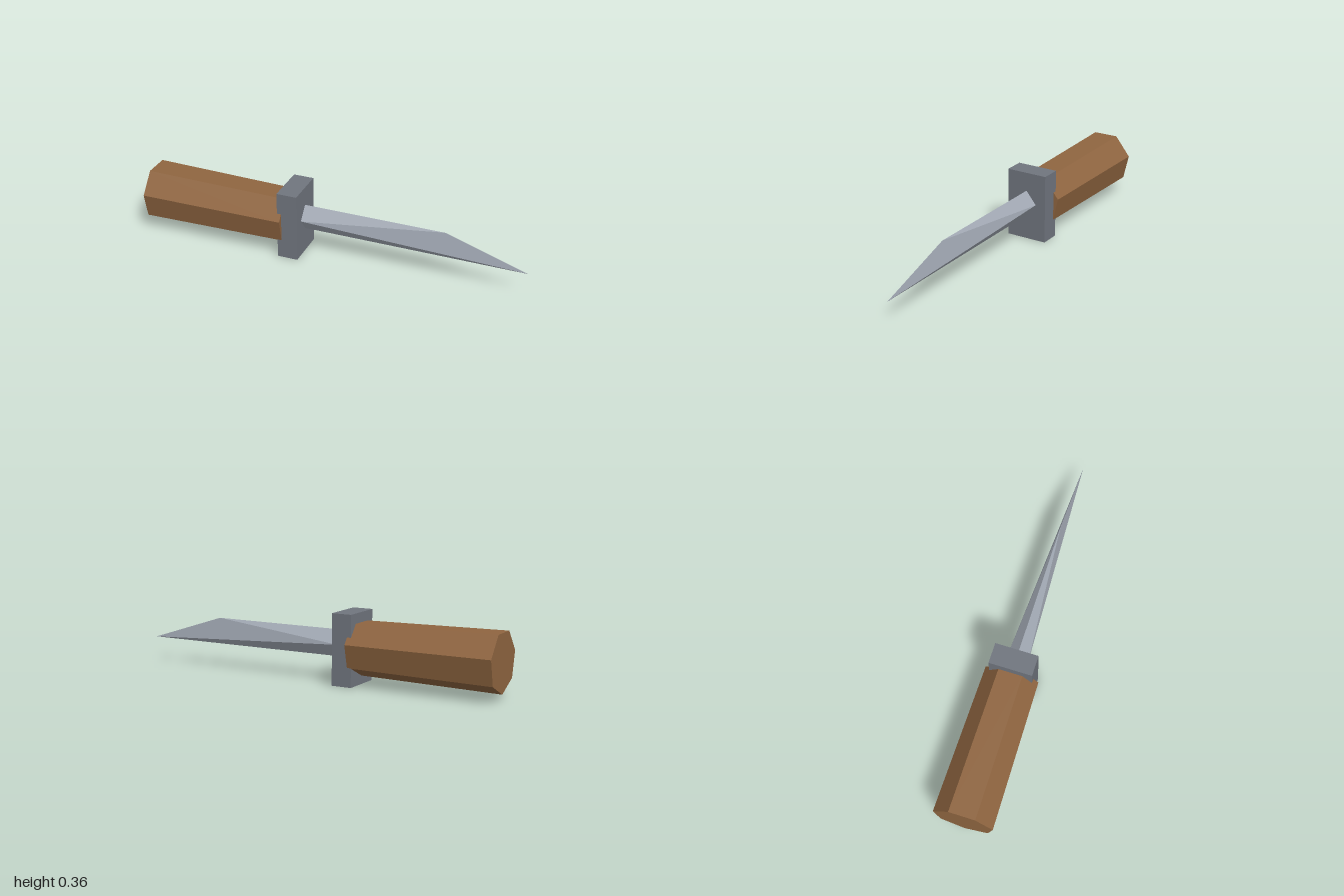
import * as THREE from 'three';

const flat = (name, color) => {
  const m = new THREE.MeshStandardMaterial({ color });
  m.name = name;
  return m;
};

// Diamond-section blade: flat spine, clipped towards a low point
function bladeGeometry() {
  const x = -0.156;
  const top = [x, 0.263, 0], bottom = [x, 0.127, 0];
  const shoulder = [0.58, 0.263, 0], tip = [1, 0.127, 0];
  const points = [];
  for (const s of [1, -1]) {
    const side = [x, 0.195, 0.055 * s];
    const faces = [
      [side, shoulder, top],
      [side, tip, shoulder],
      [side, bottom, tip],
      [side, top, bottom], // base, against the guard
    ];
    for (const f of faces) points.push(...(s > 0 ? f : [...f].reverse()).flat());
  }
  const g = new THREE.BufferGeometry();
  g.setAttribute('position', new THREE.Float32BufferAttribute(points, 3));
  g.computeVertexNormals();
  return g;
}

export function createModel() {
  const wood = flat('wood', 0x8f6540);
  const darkSteel = flat('dark steel', 0x70757e);
  const steel = flat('steel', 0xa2a9b4);
  const model = new THREE.Group();
  model.name = 'knife';
  const add = (name, geometry, material) => {
    const mesh = new THREE.Mesh(geometry, material);
    mesh.name = name;
    model.add(mesh);
  };

  // Seven-sided handle, thicker at the butt, with a ridge underneath
  const handle = new THREE.CylinderGeometry(0.153, 0.14, 0.76, 7, 1, false, -Math.PI / 2)
    .rotateZ(Math.PI / 2)
    .translate(-0.62, 0.183, 0)
    .toNonIndexed();
  handle.computeVertexNormals();
  add('handle', handle, wood);

  // Crossguard block
  add('guard', new THREE.BoxGeometry(0.106, 0.36, 0.22).translate(-0.209, 0.18, 0), darkSteel);

  add('blade', bladeGeometry(), steel);
  return model;
}
